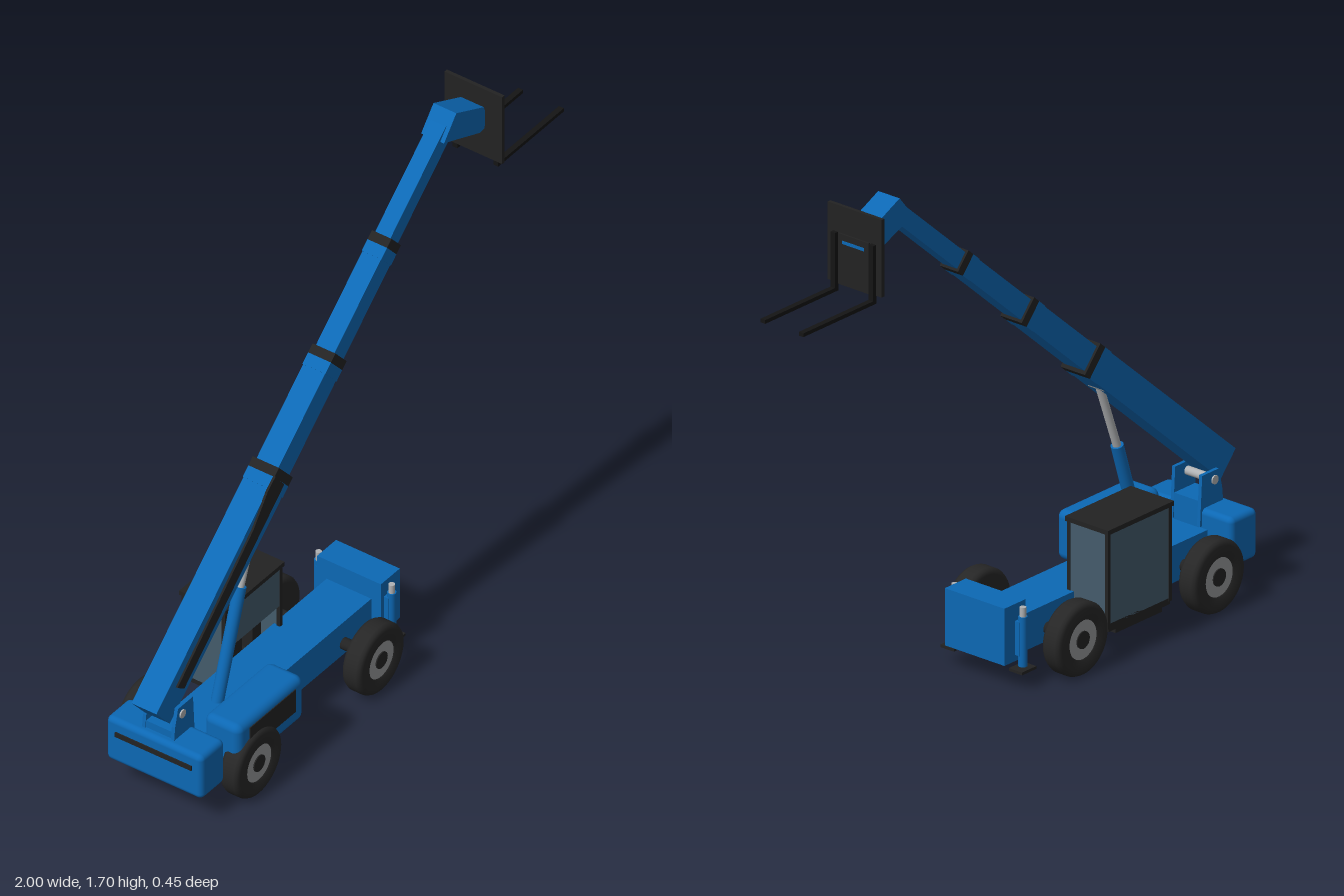
import * as THREE from 'three';
import { RoundedBoxGeometry } from 'three/addons/geometries/RoundedBoxGeometry.js';

const mat = (name, color) => {
  const m = new THREE.MeshStandardMaterial({ color });
  m.name = name;
  return m;
};

export function createModel() {
  const model = new THREE.Group();
  model.name = 'telescopicHandler';
  const blue = mat('bluePaint', 0x0c68b4);
  const black = mat('blackTrim', 0x222222);
  const steel = mat('darkForkSteel', 0x141414);
  const rubber = mat('tyreRubber', 0x262626);
  const grey = mat('rimGrey', 0x96989a);
  const chrome = mat('rodSteel', 0xb0b2b4);
  const glass = mat('tintedGlass', 0x445b6b);

  const add = (name, geo, m, parent = model) => {
    const mesh = new THREE.Mesh(geo, m);
    mesh.name = name;
    parent.add(mesh);
    return mesh;
  };
  // Box given by its limits on each axis
  const box = (name, m, x0, x1, y0, y1, z0, z1, parent, r = 0) => {
    const s = [x1 - x0, y1 - y0, z1 - z0];
    const geo = r ? new RoundedBoxGeometry(...s, 3, r) : new THREE.BoxGeometry(...s);
    const mesh = add(name, geo, m, parent);
    mesh.position.set((x0 + x1) / 2, (y0 + y1) / 2, (z0 + z1) / 2);
    return mesh;
  };
  // Cylinder between two points
  const rod = (name, m, a, b, r, parent, sides = 24) => {
    const p = new THREE.Vector3(...a), q = new THREE.Vector3(...b);
    const mesh = add(name, new THREE.CylinderGeometry(r, r, p.distanceTo(q), sides), m, parent);
    mesh.position.copy(p).add(q).multiplyScalar(0.5);
    mesh.quaternion.setFromUnitVectors(new THREE.Vector3(0, 1, 0), q.sub(p).normalize());
    return mesh;
  };
  // Side outline extruded from z0 to z1
  const plate = (name, m, pts, z0, z1, parent) => {
    const shape = new THREE.Shape(pts.map(p => new THREE.Vector2(...p)));
    const geo = new THREE.ExtrudeGeometry(shape, { depth: z1 - z0, bevelEnabled: false });
    geo.translate(0, 0, z0);
    return add(name, geo, m, parent);
  };

  // Chassis
  box('chassis', blue, -0.87, 0.04, 0.075, 0.195, -0.082, 0.082);
  box('frontBlock', blue, 0.035, 0.13, 0.08, 0.265, -0.117, 0.117);
  box('counterweight', blue, -0.947, -0.828, 0.095, 0.255, -0.176, 0.176, model, 0.018);
  box('rearSlot', black, -0.951, -0.945, 0.195, 0.212, -0.14, 0.14);
  box('engineCover', blue, -0.808, -0.478, 0.132, 0.293, 0.08, 0.212, model, 0.025);
  box('engineGrille', black, -0.755, -0.525, 0.185, 0.268, 0.208, 0.215);

  // Wheels and axles
  const tyreProfile = [[0.06, -0.033], [0.1, -0.035], [0.112, -0.03], [0.117, -0.02],
    [0.117, 0.02], [0.112, 0.03], [0.1, 0.035], [0.065, 0.034], [0.06, 0.024]]
    .map(p => new THREE.Vector2(...p));
  for (const x of [-0.72, -0.105]) {
    rod('axle', black, [x, 0.117, -0.17], [x, 0.117, 0.17], 0.019);
    for (const s of [-1, 1]) {
      const wheel = new THREE.Group();
      wheel.name = 'wheel';
      wheel.position.set(x, 0.117, s * 0.191);
      wheel.rotation.x = s * Math.PI / 2;
      add('tyre', new THREE.LatheGeometry(tyreProfile, 40), rubber, wheel);
      add('rim', new THREE.CylinderGeometry(0.064, 0.064, 0.03, 32), grey, wheel).position.y = 0.014;
      add('hub', new THREE.CylinderGeometry(0.028, 0.028, 0.034, 20), black, wheel).position.y = 0.016;
      add('innerDisc', new THREE.CylinderGeometry(0.064, 0.064, 0.03, 32), rubber, wheel).position.y = -0.018;
      model.add(wheel);
    }
  }

  // Stabiliser legs beside the front block
  for (const s of [-1, 1]) {
    const leg = new THREE.Group();
    leg.name = 'stabiliser';
    const z = s * 0.134;
    rod('legBarrel', blue, [0.066, 0.065, z], [0.066, 0.225, z], 0.014, leg);
    rod('legRod', chrome, [0.066, 0.22, z], [0.066, 0.255, z], 0.01, leg);
    box('legBracket', blue, 0.05, 0.082, 0.1, 0.21, Math.min(z, s * 0.112), Math.max(z, s * 0.112), leg);
    box('legFoot', black, 0.035, 0.1, 0.052, 0.061, z - 0.026, z + 0.026, leg);
    model.add(leg);
  }

  // Cab
  const cab = new THREE.Group();
  cab.name = 'cab';
  model.add(cab);
  box('cabRoof', black, -0.515, -0.218, 0.417, 0.432, -0.222, -0.052, cab);
  box('cabFloor', black, -0.505, -0.228, 0.1, 0.125, -0.215, -0.075, cab);
  box('cabStep', black, -0.48, -0.27, 0.08, 0.102, -0.205, -0.08, cab);
  for (const x of [-0.505, -0.228])
    for (const z of [-0.211, -0.063])
      box('cabPost', black, x - 0.006, x + 0.006, z < -0.1 ? 0.11 : 0.19, 0.418, z - 0.006, z + 0.006, cab);
  box('outerWindow', glass, -0.5, -0.233, 0.12, 0.417, -0.215, -0.209, cab);
  box('innerWindow', glass, -0.5, -0.233, 0.272, 0.417, -0.065, -0.059, cab);
  box('rearWindow', glass, -0.509, -0.503, 0.195, 0.417, -0.208, -0.066, cab);
  box('frontWindow', glass, -0.23, -0.224, 0.195, 0.417, -0.208, -0.066, cab);
  box('rearLowerWindow', glass, -0.509, -0.503, 0.12, 0.195, -0.208, -0.083, cab);
  box('frontLowerWindow', glass, -0.23, -0.224, 0.12, 0.195, -0.208, -0.083, cab);
  box('seat', black, -0.45, -0.365, 0.12, 0.225, -0.18, -0.1, cab);
  box('console', black, -0.3, -0.258, 0.12, 0.27, -0.17, -0.11, cab);

  // Boom pivot
  const ear = [[-0.93, 0.2], [-0.82, 0.2], [-0.83, 0.362], [-0.905, 0.362], [-0.92, 0.3]];
  for (const s of [-1, 1])
    plate('pivotEar', blue, ear, s * 0.053 - 0.006, s * 0.053 + 0.006);
  box('pivotBase', blue, -0.92, -0.825, 0.19, 0.28, -0.05, 0.05);
  rod('pivotPin', chrome, [-0.885, 0.333, -0.064], [-0.885, 0.333, 0.064], 0.014);

  // Telescopic boom, built along its own x axis
  const boom = new THREE.Group();
  boom.name = 'boom';
  boom.position.set(-0.9625, 0.355, 0);
  boom.rotation.z = THREE.MathUtils.degToRad(41.3);
  model.add(boom);
  const stages = [[0, 0.81, 0.051, 0.046], [0.78, 1.19, 0.041, 0.04],
    [1.16, 1.57, 0.034, 0.034], [1.54, 1.95, 0.028, 0.028]];
  stages.forEach(([a, b, h, w], i) => {
    box('boomStage', blue, a, b, -h, h, -w, w, boom);
    if (i < 3) box('boomCollar', black, b - 0.022, b + 0.008, -h - 0.002, h + 0.002, -w - 0.002, w + 0.002, boom);
    if (i < 3) box('collarLip', blue, b - 0.06, b - 0.022, -h - 0.002, h + 0.002, -w - 0.002, w + 0.002, boom);
  });
  plate('hoseTray', black, [[0.1, 0.018], [0.11, -0.022], [0.785, -0.015], [0.79, 0.057],
    [0.74, 0.058], [0.62, 0.032]], 0.045, 0.053, boom);

  // Lift cylinder
  rod('liftBarrel', blue, [-0.63, 0.18, 0], [-0.513, 0.55, 0], 0.02);
  rod('liftRod', chrome, [-0.516, 0.54, 0], [-0.425, 0.79, 0], 0.013);
  rod('liftPin', chrome, [-0.428, 0.773, -0.03], [-0.428, 0.773, 0.03], 0.014);

  // Boom head
  plate('boomHead', blue, [[0.455, 1.623], [0.49, 1.61], [0.635, 1.55], [0.658, 1.553],
    [0.668, 1.596], [0.655, 1.634], [0.517, 1.698]], -0.042, 0.042);

  // Fork carriage
  const forks = new THREE.Group();
  forks.name = 'forkCarriage';
  model.add(forks);
  box('carriagePlate', black, 0.66, 0.672, 1.446, 1.697, -0.106, 0.106, forks);
  box('carriageBand', black, 0.668, 0.678, 1.446, 1.61, -0.06, 0.06, forks);
  box('carriageSlot', blue, 0.676, 0.68, 1.58, 1.59, -0.043, 0.043, forks);
  for (const z of [-0.075, 0.075]) {
    box('forkShank', steel, 0.67, 0.685, 1.422, 1.61, z - 0.009, z + 0.009, forks);
    box('forkTine', steel, 0.67, 1.0, 1.42, 1.432, z - 0.009, z + 0.009, forks);
  }
  return model;
}
